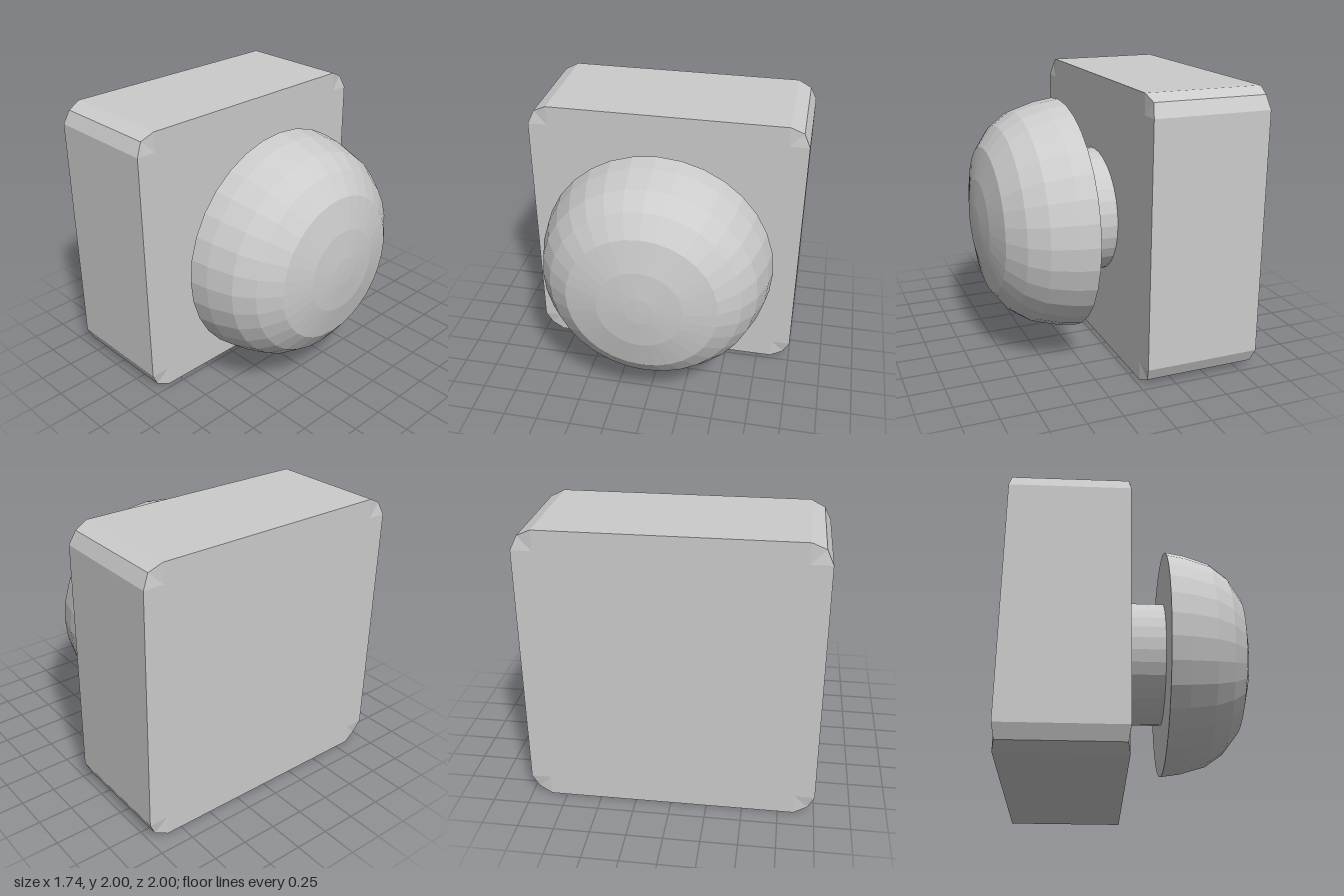
import * as THREE from 'three';

const material = new THREE.MeshStandardMaterial({ color: 0xcccccc, flatShading: true });

// Square block with two-step bevelled edges; the middle bevel line stops short of both end faces
function blockGeometry(x0, x1) {
  const inner = 0.86, mid = 0.955, inset = 0.016;
  const positions = [];
  const tri = (a, b, c) => positions.push(...a, ...b, ...c);
  const quad = (a, b, c, d) => { tri(a, b, c); tri(a, c, d); };

  // Points of one end: per corner the cap point c, bevel start a, bevel middle m, bevel end b
  const endCorners = (x, inward) => [0, 1, 2, 3].map((k) => {
    const turn = (px, u, v) => {
      for (let i = 0; i < k; i++) [u, v] = [-v, u];
      return [px, u, v];
    };
    return {
      c: turn(x, inner, inner),
      a: turn(x, 1, inner),
      m: turn(x + inward, mid, mid),
      b: turn(x, inner, 1),
    };
  });
  const near = endCorners(x0, inset);
  const far = endCorners(x1, -inset);

  for (let k = 0; k < 4; k++) {
    const n = near[k], f = far[k], nn = near[(k + 1) % 4], fn = far[(k + 1) % 4];
    // Bevel strips and the flat side
    quad(n.a, f.a, f.m, n.m);
    quad(n.m, f.m, f.b, n.b);
    quad(n.b, f.b, fn.a, nn.a);
    // Corner patches and border strips of both end faces
    quad(f.c, f.a, f.m, f.b);
    quad(f.c, f.b, fn.a, fn.c);
    quad(n.c, n.b, n.m, n.a);
    quad(n.c, nn.c, nn.a, n.b);
  }
  // Centres of the end faces
  quad(...far.map((p) => p.c));
  quad(...near.map((p) => p.c).reverse());

  // Wind every triangle outwards from the block's centre
  const geometry = new THREE.BufferGeometry();
  const centre = new THREE.Vector3((x0 + x1) / 2, 0, 0);
  const t = new THREE.Triangle(), normal = new THREE.Vector3(), middle = new THREE.Vector3();
  for (let i = 0; i < positions.length; i += 9) {
    t.a.fromArray(positions, i);
    t.b.fromArray(positions, i + 3);
    t.c.fromArray(positions, i + 6);
    t.getNormal(normal);
    t.getMidpoint(middle).sub(centre);
    if (normal.dot(middle) < 0) {
      t.c.toArray(positions, i + 3);
      t.b.toArray(positions, i + 6);
    }
  }
  geometry.setAttribute('position', new THREE.Float32BufferAttribute(positions, 3));
  geometry.computeVertexNormals();
  return geometry;
}

// Turned part lying along x, from [x, radius] pairs
function turned(profile) {
  const points = profile.map(([x, r]) => new THREE.Vector2(r, x));
  return new THREE.LatheGeometry(points, 32).rotateZ(-Math.PI / 2);
}

export function createModel() {
  const model = new THREE.Group();
  model.name = 'mushroomKnob';

  const add = (name, geometry) => {
    const mesh = new THREE.Mesh(geometry, material);
    mesh.name = name;
    mesh.position.y = 1;
    model.add(mesh);
  };

  add('baseBlock', blockGeometry(-0.87, -0.035));

  // Short neck between block and cap
  add('neck', turned([[-0.035, 0.455], [0.24, 0.455]]));

  // Domed push cap with a flat back
  add('domeCap', turned([
    [0.24, 0], [0.24, 0.836], [0.375, 0.816], [0.56, 0.76], [0.69, 0.668],
    [0.797, 0.524], [0.85, 0.3], [0.868, 0.1], [0.87, 0],
  ]));

  return model;
}
